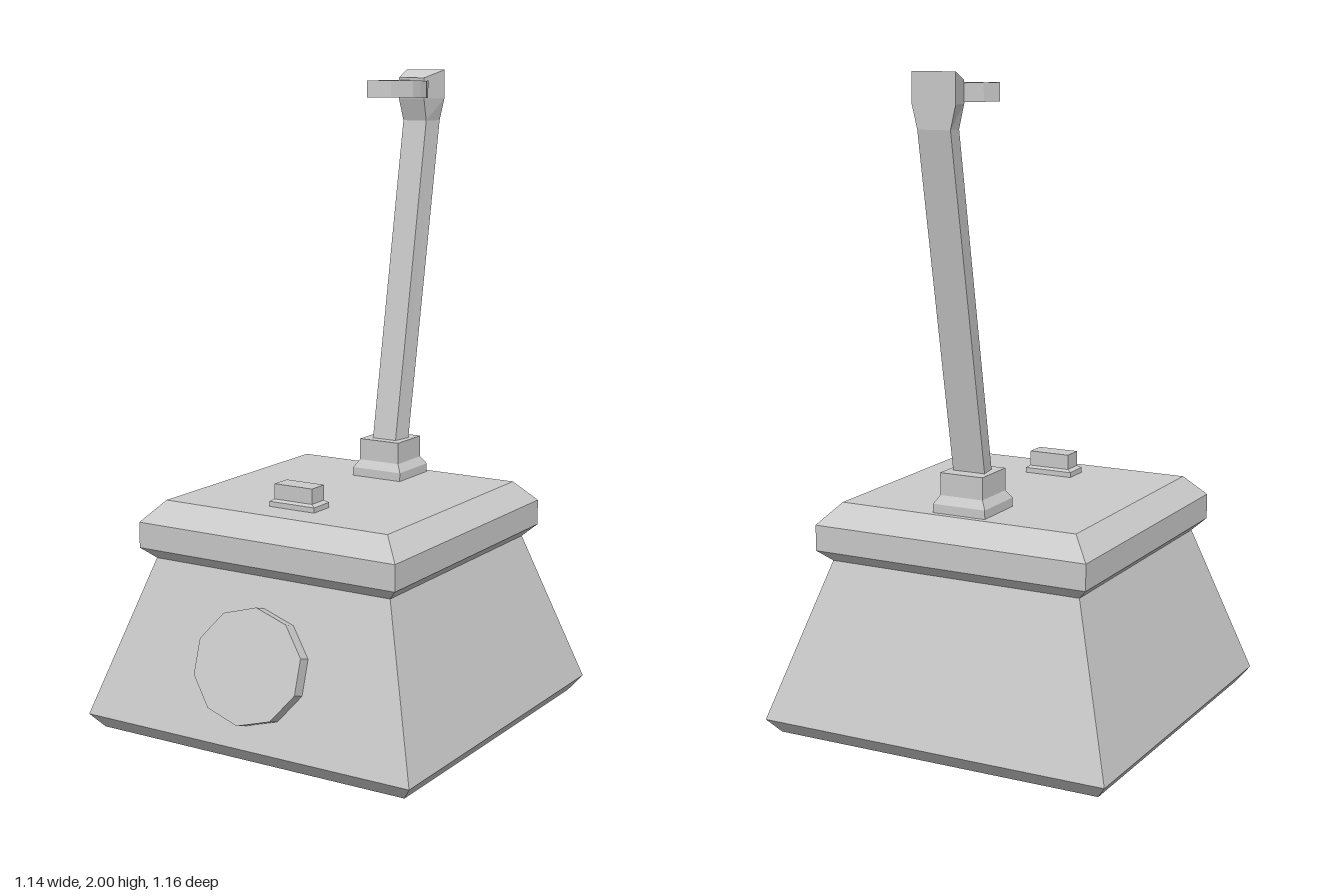
import * as THREE from 'three';

const grey = new THREE.MeshStandardMaterial({ color: 0xcccccc, flatShading: true });
const greyOpen = new THREE.MeshStandardMaterial({ color: 0xcccccc, flatShading: true, side: THREE.DoubleSide });

// Four-sided ring: front and back half widths, z and height
const ring = (frontW, backW, frontZ, backZ, frontY, backY = frontY) => [
  [-frontW, frontY, frontZ], [frontW, frontY, frontZ],
  [backW, backY, backZ], [-backW, backY, backZ],
];

// Rectangle ring centred on z = cz
const rect = (y, hx, hz, cz) => ring(hx, hx, cz + hz, cz - hz, y);

// Skin stacked rings, closing the top and optionally the bottom
function loft(name, rings, closedBottom = true, material = grey) {
  const pos = [];
  const quad = (a, b, c, d) => pos.push(...a, ...b, ...c, ...a, ...c, ...d);
  for (let k = 0; k < rings.length - 1; k++) {
    const lo = rings[k], hi = rings[k + 1];
    for (let i = 0; i < 4; i++) {
      const j = (i + 1) % 4;
      quad(lo[i], lo[j], hi[j], hi[i]);
    }
  }
  quad(...rings[rings.length - 1]);
  if (closedBottom) quad(...[...rings[0]].reverse());
  const geo = new THREE.BufferGeometry();
  geo.setAttribute('position', new THREE.Float32BufferAttribute(pos, 3));
  geo.computeVertexNormals();
  const mesh = new THREE.Mesh(geo, material);
  mesh.name = name;
  return mesh;
}

export function createModel() {
  const model = new THREE.Group();
  model.name = 'pedestalWithHook';

  // Hollow tapered body with bevelled lid, open underneath
  const bodyProfile = [[0, 0.535], [0.045, 0.57], [0.53, 0.415], [0.565, 0.452], [0.645, 0.452], [0.71, 0.392]];
  model.add(loft('body', bodyProfile.map(([y, h]) => rect(y, h, h, -0.009)), false, greyOpen));

  // Ten-sided disc lying on the sloping front wall
  const discGeo = new THREE.CylinderGeometry(0.188, 0.188, 0.044, 10);
  discGeo.rotateX(Math.PI / 2);
  discGeo.scale(1, 0.925, 1);
  const disc = new THREE.Mesh(discGeo, grey);
  disc.name = 'frontDisc';
  disc.rotation.x = -Math.atan2(0.155, 0.485);
  disc.position.set(0, 0.283, 0.506);
  model.add(disc);

  // Small button on the lid
  model.add(loft('button', [
    rect(0.71, 0.08, 0.042, 0.242), rect(0.726, 0.08, 0.042, 0.242),
    rect(0.733, 0.067, 0.033, 0.242), rect(0.78, 0.067, 0.033, 0.242),
  ]));

  // Stepped socket holding the arm
  model.add(loft('armSocket', [
    rect(0.71, 0.087, 0.087, -0.295), rect(0.737, 0.087, 0.087, -0.295),
    rect(0.762, 0.071, 0.071, -0.295), rect(0.83, 0.071, 0.071, -0.295),
  ]));

  // Leaning arm, narrower at the front, flaring into the head
  model.add(loft('arm', [
    ring(0.042, 0.053, -0.255, -0.318, 0.82),
    ring(0.042, 0.053, -0.44, -0.508, 1.84),
    ring(0.046, 0.07, -0.417, -0.508, 1.91),
    ring(0.046, 0.07, -0.417, -0.508, 1.975, 2.0),
  ]));

  // Crescent cradle on the head, drawn from above (shape y is -z)
  const half = [[0.04, 0.358], [0.075, 0.343], [0.108, 0.322], [0.085, 0.375], [0.045, 0.42]];
  const mirrored = half.map(([x, y]) => [-x, y]).reverse();
  const outline = [...half, ...mirrored].map(([x, y]) => new THREE.Vector2(x, y));
  const cradleGeo = new THREE.ExtrudeGeometry(new THREE.Shape(outline), { depth: 0.053, bevelEnabled: false });
  cradleGeo.rotateX(-Math.PI / 2);
  const cradle = new THREE.Mesh(cradleGeo, grey);
  cradle.name = 'cradle';
  cradle.position.y = 1.914;
  model.add(cradle);

  return model;
}
